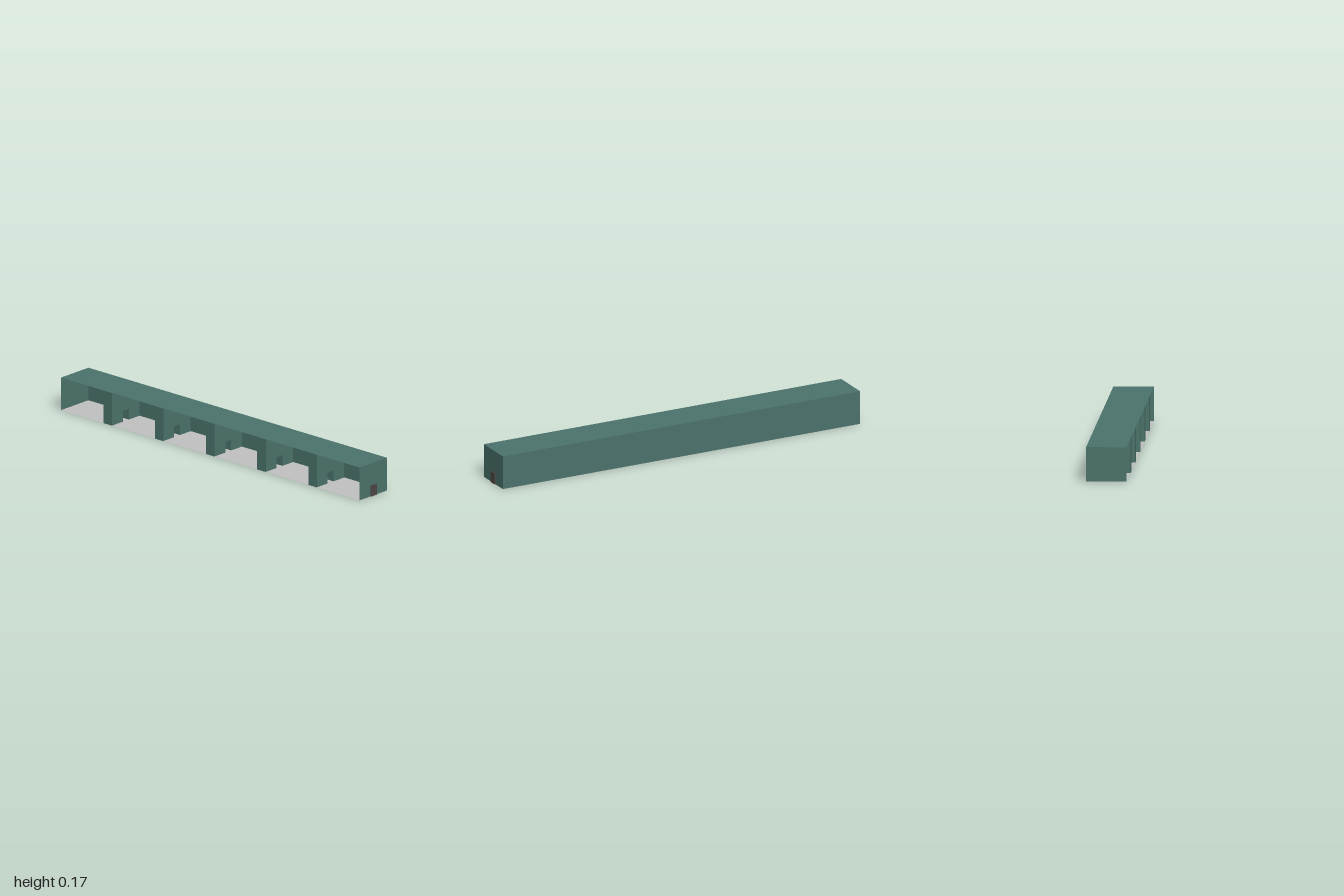
import * as THREE from 'three';

const mat = (name, color, side = THREE.FrontSide) => {
  const m = new THREE.MeshStandardMaterial({ color, side });
  m.name = name;
  return m;
};

export function createModel() {
  const group = new THREE.Group();
  const green = mat('wallGreen', 0x4b726b, THREE.DoubleSide);
  const grey = mat('floorGrey', 0xc0c0c0, THREE.DoubleSide);
  const brown = mat('doorBrown', 0x4d4745);
  const dark = mat('knobDark', 0x222222);

  const W = 0.2, H = 0.171, back = -1, front = 0.994;
  const L = front - back, midZ = (front + back) / 2;
  const unit = L / 35; // six rooms of 5 units, five dividers of 1 unit
  const doorW = 0.043, doorH = 0.057;

  const add = (name, geometry, material, x, y, z, rx = 0, ry = 0) => {
    const mesh = new THREE.Mesh(geometry, material);
    mesh.name = name;
    mesh.position.set(x, y, z);
    mesh.rotation.set(rx, ry, 0);
    group.add(mesh);
    return mesh;
  };

  // Thin outer shell, open along the -x side
  add('roof', new THREE.PlaneGeometry(W, L), green, 0, H, midZ, -Math.PI / 2);
  add('sideWall', new THREE.PlaneGeometry(L, H), green, W / 2, H / 2, midZ, 0, Math.PI / 2);
  add('frontWall', new THREE.PlaneGeometry(W, H), green, 0, H / 2, front);
  add('backWall', new THREE.PlaneGeometry(W, H), green, 0, H / 2, back, 0, Math.PI);

  // Floor, just above the feet of the dividers
  add('floor', new THREE.PlaneGeometry(W, L), grey, 0, 0.0008, midZ, -Math.PI / 2);

  // Thick dividers, each with a central doorway
  const d = doorW / 2, x0 = -W / 2, x1 = W / 2 - 0.0005, top = H - 0.0005;
  const outline = new THREE.Shape([
    [x0, 0], [-d, 0], [-d, doorH], [d, doorH], [d, 0], [x1, 0], [x1, top], [x0, top],
  ].map(([x, y]) => new THREE.Vector2(x, y)));
  const dividerGeometry = new THREE.ExtrudeGeometry(outline, { depth: unit, bevelEnabled: false });
  for (let i = 0; i < 5; i++) {
    add('divider' + (i + 1), dividerGeometry, green, 0, 0, back + unit * (5 + 6 * i));
  }

  // Front door, standing proud of the wall on both sides, with its knob
  add('door', new THREE.BoxGeometry(doorW, doorH, 0.01), brown, 0, doorH / 2, front);
  add('doorKnob', new THREE.SphereGeometry(0.0028, 16, 12), dark, 0.017, 0.017, 0.9972);

  return group;
}
